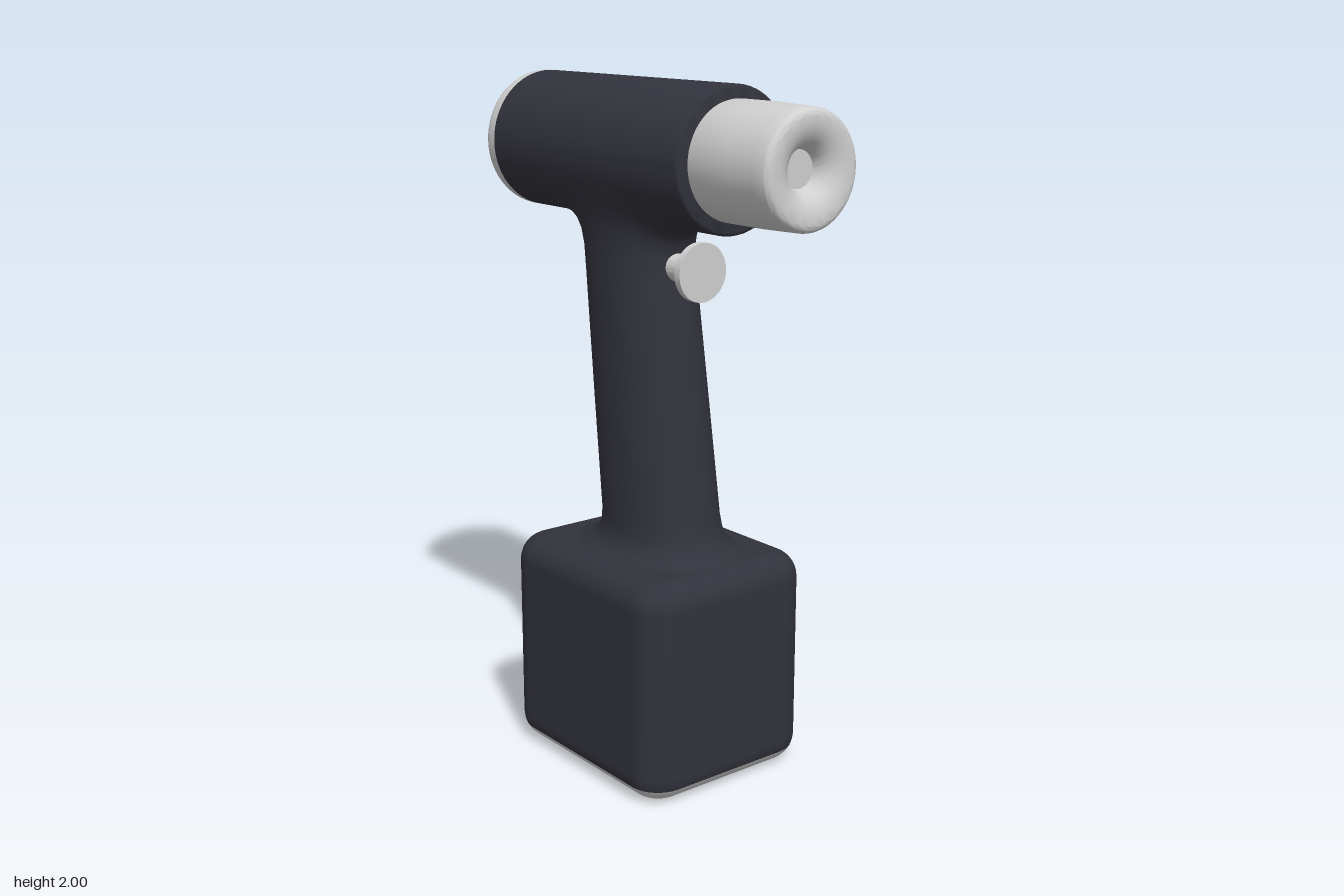
import * as THREE from 'three';
import { toCreasedNormals } from 'three/addons/utils/BufferGeometryUtils.js';

const dark = new THREE.MeshStandardMaterial({ color: 0x32323c });
dark.name = 'charcoal';
const light = new THREE.MeshStandardMaterial({ color: 0xd0d0d0 });
light.name = 'lightGrey';

// Skin through closed rings (counter-clockwise from above, bottom to top)
function loft(rings, capBottom, capTop) {
  const n = rings[0].length, pos = rings.flat(2), idx = [];
  for (let j = 0; j < rings.length - 1; j++) {
    for (let i = 0; i < n; i++) {
      const a = j * n + i, b = j * n + (i + 1) % n;
      idx.push(a, b, b + n, a, b + n, a + n);
    }
  }
  const cap = (j, up) => {
    const c = pos.length / 3;
    pos.push(0, rings[j][0][1], 0);
    for (let i = 0; i < n; i++) {
      const a = j * n + i, b = j * n + (i + 1) % n;
      idx.push(c, up ? a : b, up ? b : a);
    }
  };
  if (capBottom) cap(0, false);
  if (capTop) cap(rings.length - 1, true);
  const g = new THREE.BufferGeometry();
  g.setAttribute('position', new THREE.Float32BufferAttribute(pos, 3));
  g.setIndex(idx);
  g.computeVertexNormals();
  return g;
}

// Turned part along x from [radius, x] points, back to front
function turned(points, y) {
  const g = new THREE.LatheGeometry(points.map(p => new THREE.Vector2(...p)), 64);
  g.rotateZ(-Math.PI / 2);
  g.translate(0, y, 0);
  return toCreasedNormals(g, 0.7);
}

// Quarter round from angle a0 to a1, as [radius, x] points
function arc(cr, cx, r, a0, a1, n = 6) {
  return Array.from({ length: n + 1 }, (_, i) => {
    const a = a0 + (a1 - a0) * i / n;
    return [cr + r * Math.cos(a), cx + r * Math.sin(a)];
  });
}

// Rounded rectangle ring of the battery block
function blockRing(y, inset) {
  const hx = 0.353 - inset, hz = 0.295 - inset, r = Math.max(0.1 - inset, 0.015), ring = [];
  [[1, 1], [-1, 1], [-1, -1], [1, -1]].forEach(([sx, sz], k) => {
    for (let i = 0; i <= 8; i++) {
      const a = (k + i / 8) * Math.PI / 2;
      ring.push([-0.032 + sx * (hx - r) + r * Math.cos(a), y, -(sz * (hz - r) + r * Math.sin(a))]);
    }
  });
  return ring;
}

// Handle ring; saddle bends it up around the barrel
function handleRing([y, x0, x1, hz, saddle]) {
  return Array.from({ length: 64 }, (_, i) => {
    const a = i / 64 * Math.PI * 2, c = Math.cos(a), s = Math.sin(a), e = 0.9;
    const x = (x0 + x1) / 2 + (x1 - x0) / 2 * Math.sign(c) * Math.abs(c) ** e;
    const z = -hz * Math.sign(s) * Math.abs(s) ** e;
    return [x, y + saddle * (0.2 - Math.sqrt(Math.max(0, 0.04 - z * z))), z];
  });
}

export function createModel() {
  const model = new THREE.Group();
  const add = (name, geometry, material) => {
    const m = new THREE.Mesh(geometry, material);
    m.name = name;
    model.add(m);
  };
  const H = Math.PI / 2, AXIS = 1.8;

  // Barrel with its rear cap
  add('barrel', turned([[0, -0.55], [0.2, -0.55], ...arc(0.19, 0.293, 0.01, 0, H, 4), [0, 0.303]], AXIS), dark);
  add('rearCap', turned([[0, -0.608], ...arc(0.165, -0.573, 0.035, -H, 0), [0.2, -0.55]], AXIS), light);

  // Chuck with a funnelled nose and a flat bottom to the hole
  add('chuck', turned([[0.158, 0.29], [0.163, 0.31], [0.163, 0.45], [0.16, 0.55],
    ...arc(0.137, 0.583, 0.022, 0, H), [0.115, 0.604], [0.09, 0.597], [0.07, 0.583],
    [0.056, 0.565], [0.05, 0.545]], AXIS), light);
  add('chuckHole', turned([[0.052, 0.546], [0, 0.546]], AXIS), light);

  // Trigger
  add('triggerStem', turned([[0.04, 0.02], [0.04, 0.16]], 1.485), light);
  add('triggerButton', turned([[0, 0.153], [0.083, 0.153], [0.083, 0.175], [0, 0.175]], 1.485), light);

  // Leaning handle, flared at both ends: y, back x, front x, half depth, saddle
  add('handle', loft([
    [0.64, -0.33, 0.275, 0.235, 0],
    [0.655, -0.295, 0.255, 0.205, 0],
    [0.668, -0.25, 0.225, 0.182, 0],
    [0.69, -0.217, 0.2, 0.163, 0],
    [0.72, -0.203, 0.187, 0.154, 0],
    [0.76, -0.202, 0.176, 0.151, 0],
    [1.1, -0.239, 0.124, 0.146, 0],
    [1.45, -0.276, 0.07, 0.14, 0.1],
    [1.515, -0.284, 0.062, 0.14, 0.4],
    [1.55, -0.296, 0.07, 0.144, 0.7],
    [1.575, -0.315, 0.085, 0.152, 0.85],
    [1.592, -0.342, 0.11, 0.167, 0.95],
    [1.6, -0.385, 0.15, 0.186, 1],
    [1.62, -0.39, 0.155, 0.188, 1],
  ].map(handleRing)), dark);

  // Battery block with a pale base
  const round = (d, r) => r - Math.sqrt(Math.max(0, r * r - (r - d) ** 2));
  const TOP = 0.655, SPLIT = 0.045, R = 0.08;
  const base = [0, 0.002, 0.007, 0.015, 0.03, SPLIT].map(y => blockRing(y, round(y, R)));
  const body = [SPLIT, 0.06, R].map(y => blockRing(y, round(y, R)));
  for (let i = 0; i <= 8; i++) {
    const a = i / 8 * H;
    body.push(blockRing(TOP - R + R * Math.sin(a), R - R * Math.cos(a)));
  }
  add('batteryBase', loft(base, true, false), light);
  add('battery', loft(body, false, true), dark);

  return model;
}
